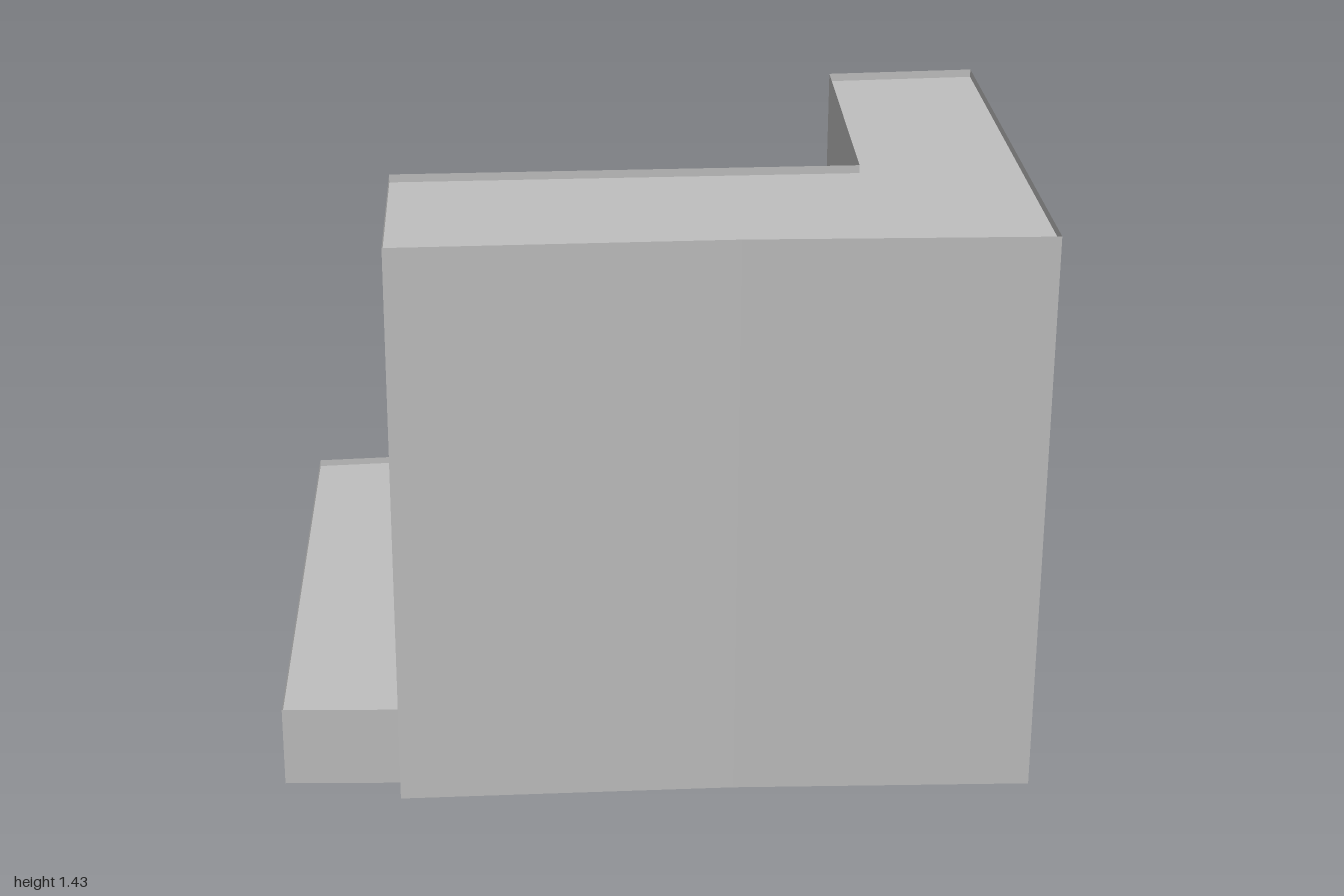
import * as THREE from 'three';

// Plan corners as [x, z], running front -> right -> back -> left
const frontLeft = [-0.75, 0.54], frontBend = [0.03, 0.74], frontRight = [0.72, 0.945];
const wingBackRight = [1, -0.2], wingBackLeft = [0.64, -0.28];
const innerCorner = [0.46, 0.375], wingEnd = [-0.62, 0.09], notch = [-0.73, 0.47];
const chamferA = [0.72, -0.545], chamferB = [0.6, -0.705], backBend = [0.16, -0.785];
const backLeft = [-0.6, -0.945], sideLeft = [-1, 0.385];

const TOWER_TOP = 1.43, TOWER_ROOF = 1.41, LOW_TOP = 0.205, LOW_ROOF = 0.187;

export function createModel() {
  const group = new THREE.Group();
  const grey = new THREE.MeshStandardMaterial({ color: 0xbfbfbf, side: THREE.DoubleSide });
  grey.name = 'plain grey';

  function add(name, geometry) {
    const mesh = new THREE.Mesh(geometry, grey);
    mesh.name = name;
    group.add(mesh);
  }

  // Thin vertical walls following a line of plan corners
  function walls(name, line, y0, y1) {
    const positions = [];
    for (let i = 0; i < line.length - 1; i++) {
      const [ax, az] = line[i], [bx, bz] = line[i + 1];
      positions.push(ax, y0, az, bx, y0, bz, bx, y1, bz, ax, y0, az, bx, y1, bz, ax, y1, az);
    }
    const geometry = new THREE.BufferGeometry();
    geometry.setAttribute('position', new THREE.Float32BufferAttribute(positions, 3));
    geometry.computeVertexNormals();
    add(name, geometry);
  }

  // Flat sheet filling a plan outline
  function sheet(name, outline, y) {
    const shape = new THREE.Shape(outline.map(([x, z]) => new THREE.Vector2(x, -z)));
    add(name, new THREE.ShapeGeometry(shape).rotateX(-Math.PI / 2).translate(0, y, 0));
  }

  // Tall L-shaped block: outer walls reach the ground, inner ones the low roof
  walls('towerOuterWalls', [frontLeft, frontBend, frontRight, wingBackRight, wingBackLeft], 0, TOWER_TOP);
  walls('towerInnerWalls', [wingBackLeft, innerCorner, wingEnd, notch, frontLeft], LOW_ROOF, TOWER_TOP);
  sheet('towerRoof', [frontLeft, frontBend, frontRight, wingBackRight, wingBackLeft, innerCorner, wingEnd], TOWER_ROOF);

  // Low block, open underneath, with a shallow parapet on the back and left
  walls('lowRightWalls', [wingBackLeft, chamferA, chamferB], 0, LOW_ROOF);
  walls('lowParapetWalls', [chamferB, backBend, backLeft, sideLeft, notch], 0, LOW_TOP);
  walls('notchWall', [notch, frontLeft], 0, LOW_ROOF);
  sheet('lowRoof', [frontLeft, frontBend, frontRight, wingBackRight, wingBackLeft,
    chamferA, chamferB, backBend, backLeft, sideLeft, notch], LOW_ROOF);

  // Raised box on the low roof, against the tower
  const box = [[-0.47, 0.13], [0.39, 0.36], [0.52, -0.12], [-0.345, -0.35]];
  walls('roofBoxWalls', [...box, box[0]], LOW_ROOF, 0.29);
  sheet('roofBoxTop', box, 0.29);

  return group;
}
